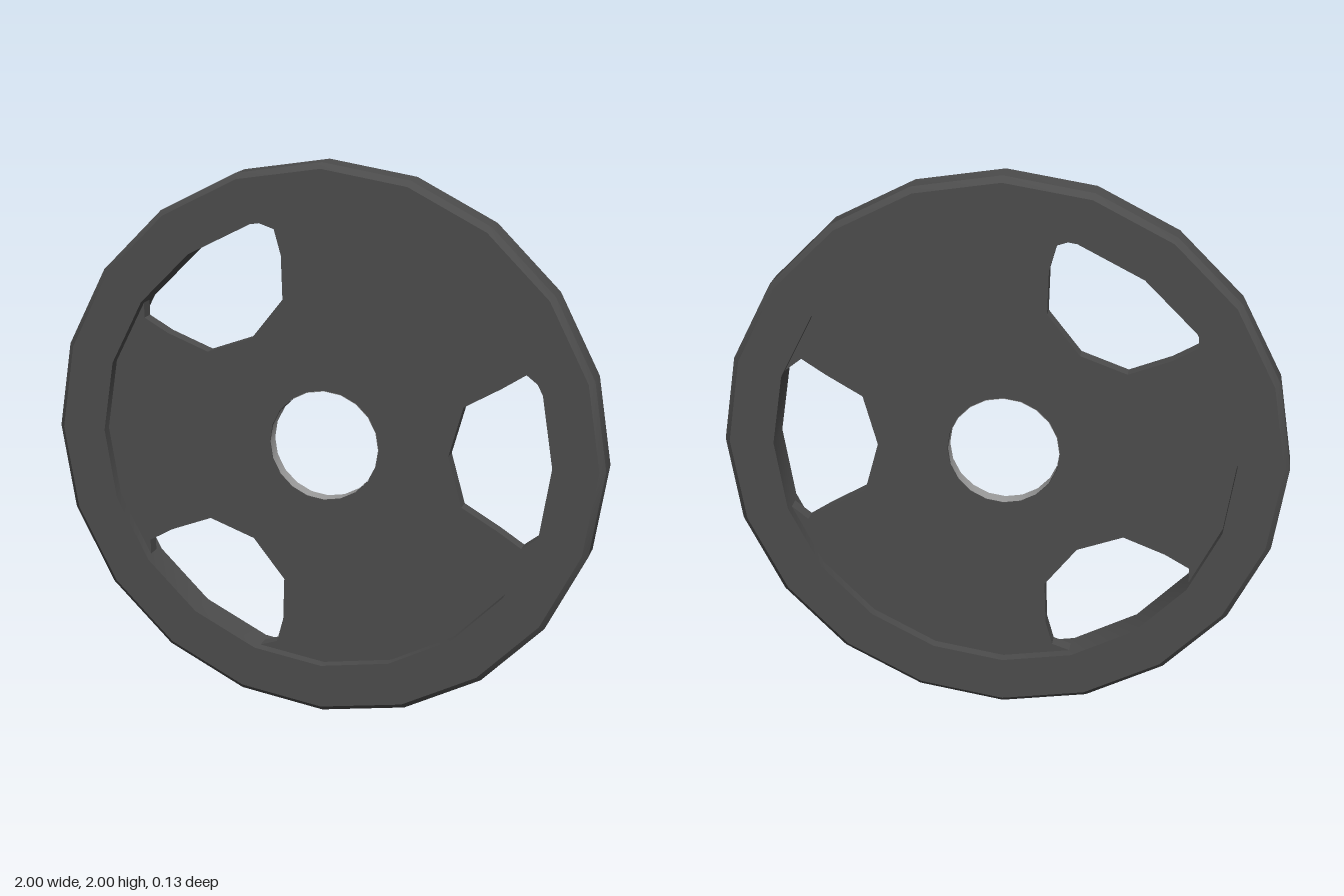
import * as THREE from 'three';
import { toCreasedNormals } from 'three/addons/utils/BufferGeometryUtils.js';

const SIDES = 20;
const RIM_IN = 0.82, HALF = 0.065, WEB_HALF = 0.026, BORE = 0.2;

const polar = (r, deg) => {
  const a = THREE.MathUtils.degToRad(deg);
  return new THREE.Vector2(r * Math.cos(a), r * Math.sin(a));
};
const ring = (r) => Array.from({ length: SIDES }, (_, i) => polar(r, i * 360 / SIDES));
const points = (list) => list.map(([x, y]) => new THREE.Vector2(x, y));

export function createModel() {
  const iron = new THREE.MeshStandardMaterial({ color: 0x4c4c4c });
  iron.name = 'dark iron';
  const steel = new THREE.MeshStandardMaterial({ color: 0x9c9c9c, side: THREE.DoubleSide });
  steel.name = 'bare steel';

  const group = new THREE.Group();
  group.name = 'weightPlate';
  const add = (name, geometry, material) => {
    const mesh = new THREE.Mesh(toCreasedNormals(geometry, 0.5), material);
    mesh.name = name;
    mesh.position.y = 1;
    group.add(mesh);
  };

  // Thick outer rim with chamfered edges
  const profile = points([
    [RIM_IN, -HALF], [0.98, -HALF], [1, -0.045], [1, 0.045],
    [0.98, HALF], [RIM_IN, HALF], [RIM_IN, -HALF],
  ]);
  add('rim', new THREE.LatheGeometry(profile, SIDES).rotateX(Math.PI / 2), iron);

  // Thin web, its outer edge buried in the rim, with a bore and three grip windows
  const web = new THREE.Shape(ring(0.88));
  web.holes.push(new THREE.Path(ring(BORE)));
  const edge = RIM_IN + 0.006; // just behind the rim's inner wall
  const rightGrip = [
    ...points([[0.715, -0.31], [0.63, -0.255], [0.5, -0.18], [0.45, 0], [0.5, 0.18], [0.63, 0.255], [0.715, 0.31]]),
    polar(edge, 18), polar(edge, 0), polar(edge, -18),
  ];
  const upperGrip = [
    ...points([[-0.18, 0.76], [-0.155, 0.67], [-0.15, 0.515], [-0.265, 0.37], [-0.43, 0.31], [-0.58, 0.368], [-0.668, 0.418]]),
    polar(edge, 144), polar(edge, 126), polar(edge, 108),
  ];
  const lowerGrip = upperGrip.map((p) => new THREE.Vector2(p.x, -p.y));
  for (const grip of [rightGrip, upperGrip, lowerGrip]) web.holes.push(new THREE.Path(grip));
  const webGeometry = new THREE.ExtrudeGeometry(web, { depth: WEB_HALF * 2, bevelEnabled: false });
  add('web', webGeometry.translate(0, 0, -WEB_HALF), iron);

  // Bare lining of the centre bore
  const lining = new THREE.CylinderGeometry(BORE - 0.002, BORE - 0.002, WEB_HALF * 2, SIDES, 1, true);
  add('boreLining', lining.rotateX(Math.PI / 2), steel);

  return group;
}
